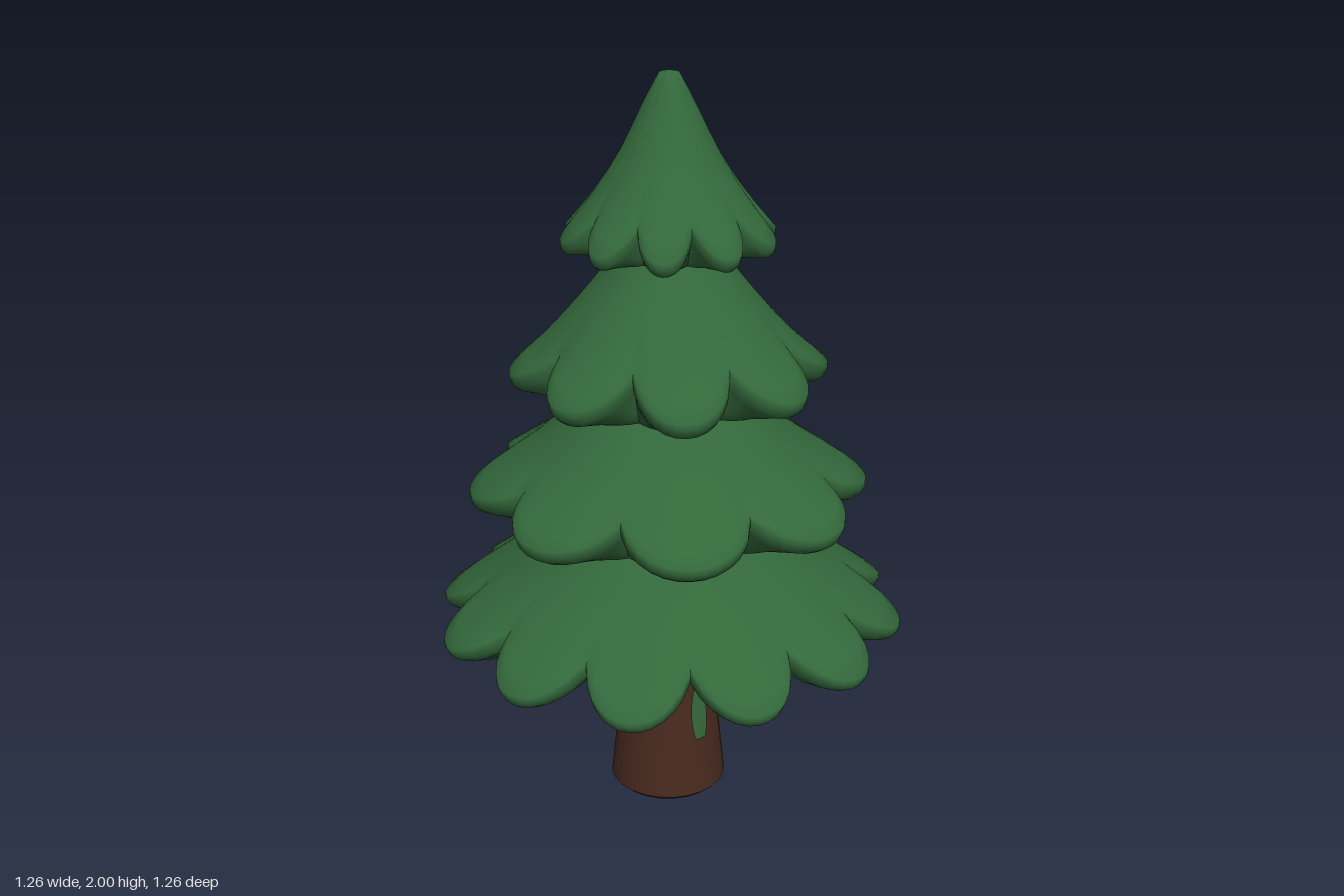
import * as THREE from 'three';
import { toCreasedNormals } from 'three/addons/utils/BufferGeometryUtils.js';

const needleGreen = new THREE.MeshStandardMaterial({ color: 0x33683b });
needleGreen.name = 'needleGreen';
const shadeGreen = new THREE.MeshStandardMaterial({ color: 0x16351a });
shadeGreen.name = 'shadeGreen';
const mossGreen = needleGreen.clone();
mossGreen.name = 'mossGreen';
mossGreen.side = THREE.DoubleSide;
const barkBrown = new THREE.MeshStandardMaterial({ color: 0x482a1f });
barkBrown.name = 'barkBrown';

const PER_LOBE = 12;
const ROWS = 10;
const UNDER_ROWS = 5;

// profile: [radius, height] from the crown of the tier to its lobe tips
// core: radius and height of the dark disc underneath; darkRow: underside row where dark starts
const tiers = [
  { name: 'bottomBranches', lobes: 12, notch: 0.71, bottom: 0.495, core: [0.18, 0.53], darkRow: 5, bumps: 0.018,
    profile: [[0.12, 0.97], [0.24, 0.87], [0.4, 0.71], [0.53, 0.61], [0.63, 0.535]] },
  { name: 'lowerMiddleBranches', lobes: 8, notch: 0.68, bottom: 0.86, core: [0.32, 0.84], darkRow: 3, bumps: 0,
    profile: [[0.14, 1.25], [0.21, 1.18], [0.34, 1.04], [0.45, 0.96], [0.53, 0.905]] },
  { name: 'upperMiddleBranches', lobes: 8, notch: 0.7, bottom: 1.19, core: [0.24, 1.17], darkRow: 3, bumps: 0,
    profile: [[0.1, 1.62], [0.14, 1.54], [0.24, 1.41], [0.33, 1.31], [0.415, 1.235]] },
  { name: 'topBranches', lobes: 10, notch: 0.78, bottom: 1.555, core: [0.15, 1.55], darkRow: 3, bumps: 0,
    profile: [[0.025, 1.995], [0.06, 1.93], [0.13, 1.79], [0.205, 1.68], [0.28, 1.59]] },
];

// A cone skirt whose hem is cut into rounded lobes, closed underneath
function tierGeometry({ lobes, notch, bottom, core, darkRow, bumps, profile }) {
  const curve = new THREE.CatmullRomCurve3(profile.map(([r, y]) => new THREE.Vector3(r, y, 0)));
  const cols = lobes * PER_LOBE;
  const thickness = profile[profile.length - 1][1] - bottom;
  const columns = [];
  for (let j = 0; j < cols; j++) {
    const u = Math.abs(2 * ((j / PER_LOBE) % 1) - 1); // 0 at lobe tip, 1 at notch
    const cut = (1 - notch) * Math.pow(u, 2.2);
    const ring = [[0, profile[0][1] + 0.005]];
    for (let i = 0; i <= ROWS; i++) {
      const t = i / ROWS;
      const p = curve.getPoint(t * (1 - cut * t * t));
      ring.push([p.x, p.y - 0.4 * thickness * t ** 4 * u ** 4]);
    }
    // rounded rim
    const [r, y] = ring[ring.length - 1];
    ring.push([r, y - thickness * 0.35], [r * 0.985, y - thickness * 0.75], [r * 0.95, y - thickness]);
    // underside running in to the round core
    for (let k = 1; k <= UNDER_ROWS; k++) {
      const q = k / UNDER_ROWS;
      const ripple = bumps * Math.cos((j * Math.PI) / 3) * (k % 2 ? 1 : -1);
      ring.push([
        THREE.MathUtils.lerp(r * 0.95, core[0], q),
        THREE.MathUtils.lerp(y - thickness, core[1], Math.min(1, q * 1.6)) + ripple,
      ]);
    }
    ring.push([0, core[1]]);
    columns.push(ring);
  }
  const rows = columns[0].length;
  const positions = [];
  const index = [];
  let darkStart = 0;
  for (let i = 0; i < rows; i++) {
    if (i === rows - 2 - UNDER_ROWS + darkRow) darkStart = index.length;
    for (let j = 0; j < cols; j++) {
      // the half lobe offset puts a lobe tip on +x
      const a = Math.PI / 2 + ((j / PER_LOBE - 0.5) / lobes) * Math.PI * 2;
      const [r, y] = columns[j][i];
      positions.push(r * Math.sin(a), y, r * Math.cos(a));
      if (i === rows - 1) continue;
      const p = i * cols + j, q = i * cols + ((j + 1) % cols);
      index.push(p, p + cols, q + cols);
      if (i > 0) index.push(p, q + cols, q);
    }
  }
  const geo = new THREE.BufferGeometry();
  geo.setAttribute('position', new THREE.Float32BufferAttribute(positions, 3));
  geo.setIndex(index);
  geo.addGroup(0, darkStart, 0);
  geo.addGroup(darkStart, index.length - darkStart, 1);
  return toCreasedNormals(geo, 1.1);
}

// Trunk radius narrows to a waist and flares at the foot
const trunkProfile = [[0.16, 0.015], [0.151, 0.1], [0.137, 0.24], [0.126, 0.36], [0.131, 0.6]];
function trunkRadius(y) {
  const i = trunkProfile.findIndex((p) => y <= p[1]);
  const [r0, y0] = trunkProfile[i - 1], [r1, y1] = trunkProfile[i];
  return THREE.MathUtils.mapLinear(y, y0, y1, r0, r1);
}

// A thin patch of moss wrapped on the trunk
function mossPatch(name, y0, y1, angle, width) {
  const geo = new THREE.CylinderGeometry(1, 1, y1 - y0, 4, 6, true, angle - width / 2, width);
  geo.translate(0, (y0 + y1) / 2, 0);
  const pos = geo.attributes.position;
  for (let i = 0; i < pos.count; i++) {
    const y = pos.getY(i);
    const t = (2 * (y - y0)) / (y1 - y0) - 1;
    const a = angle + (Math.atan2(pos.getX(i), pos.getZ(i)) - angle) * (1 - 0.4 * t * t);
    const r = trunkRadius(y) + 0.004;
    pos.setXYZ(i, r * Math.sin(a), y, r * Math.cos(a));
  }
  geo.computeVertexNormals();
  const mesh = new THREE.Mesh(geo, mossGreen);
  mesh.name = name;
  return mesh;
}

export function createModel() {
  const tree = new THREE.Group();
  tree.name = 'pineTree';

  const trunk = new THREE.Group();
  trunk.name = 'trunk';
  const points = [[0, 0], [0.148, 0.003], ...trunkProfile, [0, 0.6]].map(([r, y]) => new THREE.Vector2(r, y));
  const bark = new THREE.Mesh(toCreasedNormals(new THREE.LatheGeometry(points, 24), 0.7), barkBrown);
  bark.name = 'bark';
  trunk.add(bark);
  trunk.add(mossPatch('frontMoss', 0.18, 0.33, -0.22, 0.38));
  trunk.add(mossPatch('sideMoss', 0.39, 0.52, Math.PI / 2 + 0.42, 0.19));
  trunk.position.x = -0.005;
  tree.add(trunk);

  for (const tier of tiers) {
    const mesh = new THREE.Mesh(tierGeometry(tier), [needleGreen, shadeGreen]);
    mesh.name = tier.name;
    tree.add(mesh);
  }
  return tree;
}
